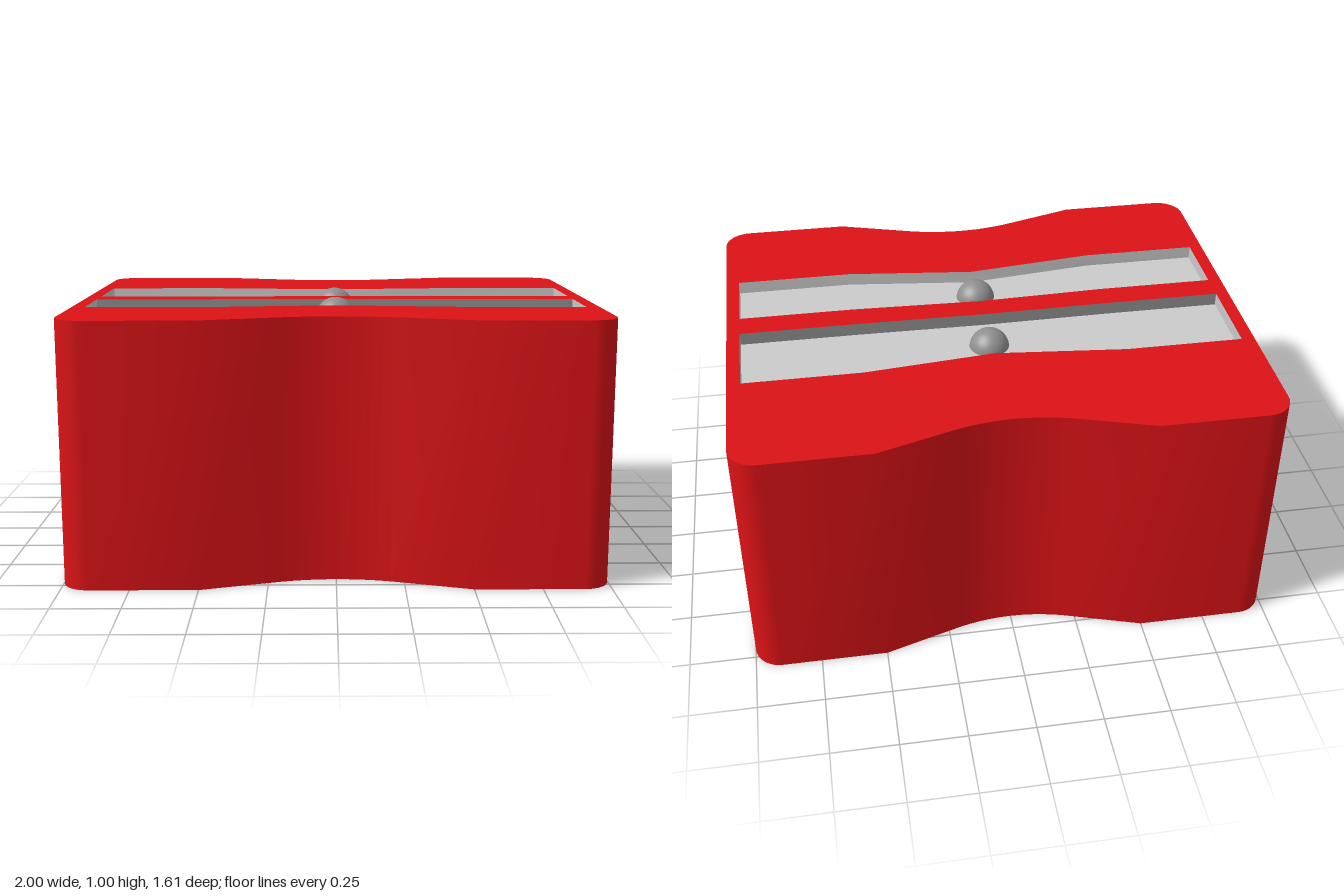
import * as THREE from 'three';
import { toCreasedNormals } from 'three/addons/utils/BufferGeometryUtils.js';

const TOP = 0.98, FLOOR = 0.93;

const red = new THREE.MeshStandardMaterial({ color: 0xdb1216 });
const redWall = new THREE.MeshStandardMaterial({ color: 0xdb1216 });
const steel = new THREE.MeshStandardMaterial({ color: 0xcccccc, side: THREE.DoubleSide });
const darkSteel = new THREE.MeshStandardMaterial({ color: 0x909090, side: THREE.DoubleSide });

function mesh(name, geometry, material) {
  const m = new THREE.Mesh(geometry, material);
  m.name = name;
  return m;
}

// Vertical wall along a path of plan points (x, -z), facing right of the path
function wall(points, y0, y1) {
  const pos = [];
  for (let i = 0; i < points.length - 1; i++) {
    const a = points[i], b = points[i + 1];
    if (a.distanceTo(b) < 1e-6) continue;
    const corner = (p, y) => [p.x, y, -p.y];
    pos.push(...corner(a, y0), ...corner(b, y0), ...corner(b, y1));
    pos.push(...corner(a, y0), ...corner(b, y1), ...corner(a, y1));
  }
  const g = new THREE.BufferGeometry();
  g.setAttribute('position', new THREE.Float32BufferAttribute(pos, 3));
  return toCreasedNormals(g, 0.6);
}

// Horizontal face of a plan shape, facing up
function plate(shape, y) {
  return new THREE.ShapeGeometry(shape, 8).rotateX(-Math.PI / 2).translate(0, y, 0);
}

// Waisted body outline with rounded corners
function bodyOutline() {
  const w = 1, d = 0.805, r = 0.1, s = new THREE.Shape();
  s.moveTo(w, -d + r);
  s.lineTo(w, d - r);
  s.absarc(w - r, d - r, r, 0, Math.PI / 2);
  s.lineTo(0.5, d);
  s.lineTo(0.2, 0.712);
  s.quadraticCurveTo(0, 0.658, -0.2, 0.712);
  s.lineTo(-0.5, d);
  s.lineTo(-w + r, d);
  s.absarc(-w + r, d - r, r, Math.PI / 2, Math.PI);
  s.lineTo(-w, -d + r);
  s.absarc(-w + r, -d + r, r, Math.PI, Math.PI * 1.5);
  s.lineTo(-0.5, -d);
  s.lineTo(-0.2, -0.712);
  s.quadraticCurveTo(0, -0.658, 0.2, -0.712);
  s.lineTo(0.5, -d);
  s.lineTo(w - r, -d);
  s.absarc(w - r, -d + r, r, Math.PI * 1.5, Math.PI * 2);
  return s;
}

// One long edge of a blade recess, bending towards its middle
function slotEdge(zEnd, zMid) {
  return [[-0.95, zEnd], [-0.5, zEnd], [0, zMid], [0.5, zEnd], [0.95, zEnd]]
    .map(([x, z]) => new THREE.Vector2(x, -z));
}

export function createModel() {
  const model = new THREE.Group();
  model.name = 'pencilSharpener';

  const slots = [
    { name: 'back', outer: slotEdge(-0.32, -0.27), inner: slotEdge(0.012, 0.006), screwZ: -0.14 },
    { name: 'front', outer: slotEdge(0.394, 0.335), inner: slotEdge(0.12, 0.104), screwZ: 0.222 },
  ];

  // Body: side wall, underside and top with two recess openings
  const outline = bodyOutline();
  const body = new THREE.Group();
  body.name = 'body';
  const rim = outline.getPoints(10);
  rim.push(rim[0].clone());
  body.add(mesh('bodySide', wall(rim, 0, TOP), redWall));
  body.add(mesh('bodyBottom', new THREE.ShapeGeometry(outline, 10).rotateX(Math.PI / 2), red));
  const top = new THREE.Shape(outline.getPoints(10));

  for (const { name, outer, inner, screwZ } of slots) {
    const loop = [...outer, ...inner.slice().reverse()];
    top.holes.push(new THREE.Path(loop));

    // Blade floor and recess walls
    const slot = new THREE.Group();
    slot.name = name + 'BladeSlot';
    slot.add(mesh('blade', plate(new THREE.Shape(loop), FLOOR), steel));
    slot.add(mesh('outerWall', wall([inner[0], ...outer, inner[4]], FLOOR, TOP), steel));
    slot.add(mesh('innerWall', wall(inner, FLOOR, TOP), darkSteel));

    // Domed screw head
    const screw = mesh('screw', new THREE.SphereGeometry(0.077, 32, 12, 0, Math.PI * 2, 0, Math.PI / 2), darkSteel);
    screw.position.set(0, 0.923, screwZ);
    slot.add(screw);
    model.add(slot);
  }

  body.add(mesh('bodyTop', plate(top, TOP), red));
  model.add(body);
  return model;
}
